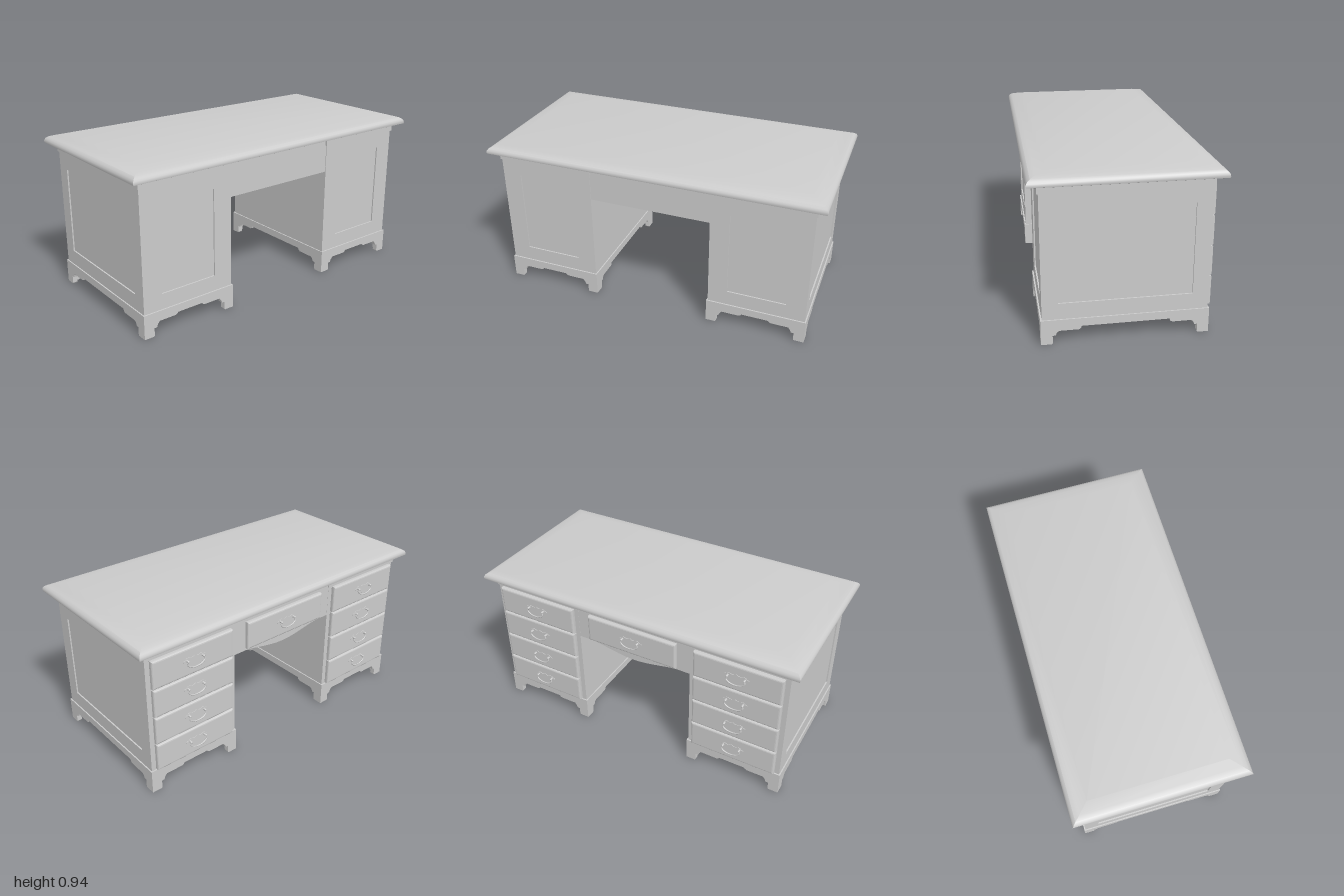
import * as THREE from 'three';
import { toCreasedNormals } from 'three/addons/utils/BufferGeometryUtils.js';

const mat = new THREE.MeshStandardMaterial({ color: 0xcccccc });
const V = (x, y, z) => new THREE.Vector3(x, y, z);

function add(parent, name, geometry, x = 0, y = 0, z = 0, turn = 0) {
  const mesh = new THREE.Mesh(geometry, mat);
  mesh.name = name;
  mesh.position.set(x, y, z);
  mesh.rotation.y = turn;
  parent.add(mesh);
  return mesh;
}

// Box given by its lower and upper limits
function span(parent, name, x0, x1, y0, y1, z0, z1) {
  return add(parent, name, new THREE.BoxGeometry(x1 - x0, y1 - y0, z1 - z0),
    (x0 + x1) / 2, (y0 + y1) / 2, (z0 + z1) / 2);
}

function rect(path, hw, y0, y1) {
  path.moveTo(-hw, y0).lineTo(hw, y0).lineTo(hw, y1).lineTo(-hw, y1).closePath();
  return path;
}

const flat = (shape, depth) => new THREE.ExtrudeGeometry(shape, { depth, bevelEnabled: false, curveSegments: 6 });

// Tabletop: mitred rectangular rings following the moulded edge
function topGeometry() {
  const rings = [[0.012, 0.878], [0.002, 0.882], [0, 0.89], [0.002, 0.901], [0.009, 0.911],
    [0.022, 0.92], [0.05, 0.929], [0.107, 0.943]];
  const pos = [];
  const corner = ([inset, y], k) => {
    const sx = k % 4 === 0 || k % 4 === 3 ? -1 : 1, sz = k % 4 < 2 ? 1 : -1;
    return [sx * (0.5 - inset), y, sz * (1 - inset)];
  };
  const quad = (a, b, c, d) => pos.push(...a, ...b, ...c, ...a, ...c, ...d);
  for (let i = 0; i < rings.length - 1; i++)
    for (let k = 0; k < 4; k++)
      quad(corner(rings[i], k), corner(rings[i], k + 1), corner(rings[i + 1], k + 1), corner(rings[i + 1], k));
  const lo = rings[0], hi = rings[rings.length - 1];
  quad(...[0, 1, 2, 3].map(k => corner(hi, k)));
  quad(...[3, 2, 1, 0].map(k => corner(lo, k)));
  const g = new THREE.BufferGeometry();
  g.setAttribute('position', new THREE.Float32BufferAttribute(pos, 3));
  return toCreasedNormals(g, 0.6);
}

// Bracket-foot skirt board, half width h, centre step half width c
function skirtGeometry(h, c, y1) {
  const s = new THREE.Shape();
  s.moveTo(-h, 0.14).lineTo(-h, 0).lineTo(-h + 0.058, 0);
  for (const m of [1, -1]) {
    const half = [[-h + 0.062, 0.006], [-h + 0.062, 0.05], [-h + 0.078, 0.05], [-h + 0.083, 0.065],
      [-h + 0.096, y1], [-c - 0.016, y1], [-c - 0.004, y1 + 0.006], [-c, 0.095]];
    if (m < 0) half.reverse();
    half.forEach(([x, y]) => s.lineTo(m * x, y));
  }
  s.lineTo(h - 0.058, 0).lineTo(h, 0).lineTo(h, 0.14).closePath();
  return flat(s, 0.03);
}

// Face frame around a sunken field
function frameGeometry(hw, holeHw) {
  const s = rect(new THREE.Shape(), hw, 0.14, 0.832);
  s.holes.push(rect(new THREE.Path(), holeHw, 0.23, 0.74));
  return flat(s, 0.008);
}

// Bail pull: shaped backplate, two posts with knobs, swinging bail
function makeHandle() {
  const g = new THREE.Group();
  g.name = 'drawerHandle';
  const s = new THREE.Shape();
  s.moveTo(0, 0.03);
  s.quadraticCurveTo(0.015, 0.018, 0.03, 0.024);
  s.quadraticCurveTo(0.05, 0.034, 0.06, 0.018);
  s.quadraticCurveTo(0.08, 0.014, 0.07, 0.002);
  s.quadraticCurveTo(0.05, -0.004, 0.04, -0.016);
  s.quadraticCurveTo(0.02, -0.018, 0, -0.034);
  s.quadraticCurveTo(-0.02, -0.018, -0.04, -0.016);
  s.quadraticCurveTo(-0.05, -0.004, -0.07, 0.002);
  s.quadraticCurveTo(-0.08, 0.014, -0.06, 0.018);
  s.quadraticCurveTo(-0.05, 0.034, -0.03, 0.024);
  s.quadraticCurveTo(-0.015, 0.018, 0, 0.03);
  add(g, 'backplate', flat(s, 0.003));
  for (const m of [-1, 1]) {
    const post = add(g, 'handlePost', new THREE.CylinderGeometry(0.005, 0.007, 0.014, 12), m * 0.05, 0.012, 0.009);
    post.rotation.x = Math.PI / 2;
    add(g, 'handleKnob', new THREE.SphereGeometry(0.007, 12, 8), m * 0.05, 0.012, 0.015);
  }
  const bail = new THREE.CatmullRomCurve3([V(-0.05, 0.012, 0.014), V(-0.054, -0.006, 0.017), V(-0.035, -0.022, 0.019),
    V(0, -0.029, 0.019), V(0.035, -0.022, 0.019), V(0.054, -0.006, 0.017), V(0.05, 0.012, 0.014)]);
  add(g, 'bail', new THREE.TubeGeometry(bail, 32, 0.004, 8));
  return g;
}

// Drawer front with softened edges, facing -x
function addDrawer(parent, y0, y1, hw) {
  const g = new THREE.Group(), b = 0.012;
  g.name = 'drawer';
  const h = (y1 - y0) / 2;
  const front = new THREE.ExtrudeGeometry(rect(new THREE.Shape(), hw - b, -h + b, h - b),
    { depth: 0.014, bevelThickness: 0.01, bevelSize: b, bevelSegments: 3 });
  add(g, 'drawerFront', front);
  const handle = makeHandle();
  handle.position.z = 0.024;
  g.add(handle);
  g.position.set(-0.441, (y0 + y1) / 2, 0);
  g.rotation.y = -Math.PI / 2;
  parent.add(g);
}

// Pedestal; side = +1 or -1 tells which end faces outwards
function makePedestal(side) {
  const g = new THREE.Group();
  g.name = side > 0 ? 'frontPedestal' : 'backPedestal';
  g.position.z = side * 0.652;
  const hz = 0.288, outer = side * (hz - 0.008), inner = -side * hz;
  span(g, 'carcass', -0.44, 0.432, 0.096, 0.88, Math.min(outer, inner), Math.max(outer, inner));
  add(g, 'endFrame', frameGeometry(0.44, 0.355), 0, 0, outer, side > 0 ? 0 : Math.PI);
  add(g, 'kneeSideFrame', frameGeometry(hz, 0.174), 0.432, 0, 0, Math.PI / 2);
  span(g, 'cornice', -0.448, 0.448, 0.832, 0.88, -0.294, 0.294);

  // Four skirt boards with bracket feet
  const long = skirtGeometry(0.448, 0.234, 0.076), short = skirtGeometry(0.295, 0.08, 0.082);
  for (const m of [1, -1]) {
    add(g, 'longSkirt', long, 0, 0, m * 0.265, m > 0 ? 0 : Math.PI);
    add(g, 'shortSkirt', short, m * 0.418, 0, 0, m * Math.PI / 2);
  }
  for (let i = 0; i < 4; i++) addDrawer(g, 0.145 + i * 0.1715, 0.311 + i * 0.1715, 0.26);
  return g;
}

export function createModel() {
  const model = new THREE.Group();
  model.name = 'pedestalDesk';
  add(model, 'tabletop', topGeometry());
  model.add(makePedestal(1), makePedestal(-1));

  // Centre drawer case, apron and drawer above the knee space
  span(model, 'centreCase', -0.425, 0.436, 0.667, 0.88, -0.366, 0.366);
  const apron = new THREE.Shape();
  apron.moveTo(-0.366, 0.88).lineTo(-0.366, 0.643).lineTo(-0.28, 0.643);
  apron.bezierCurveTo(-0.2, 0.637, -0.1, 0.603, 0, 0.603);
  apron.bezierCurveTo(0.1, 0.603, 0.2, 0.637, 0.28, 0.643);
  apron.lineTo(0.366, 0.643).lineTo(0.366, 0.88).closePath();
  add(model, 'apron', flat(apron, 0.02), -0.419, 0, 0, -Math.PI / 2);
  addDrawer(model, 0.66, 0.825, 0.285);
  return model;
}
